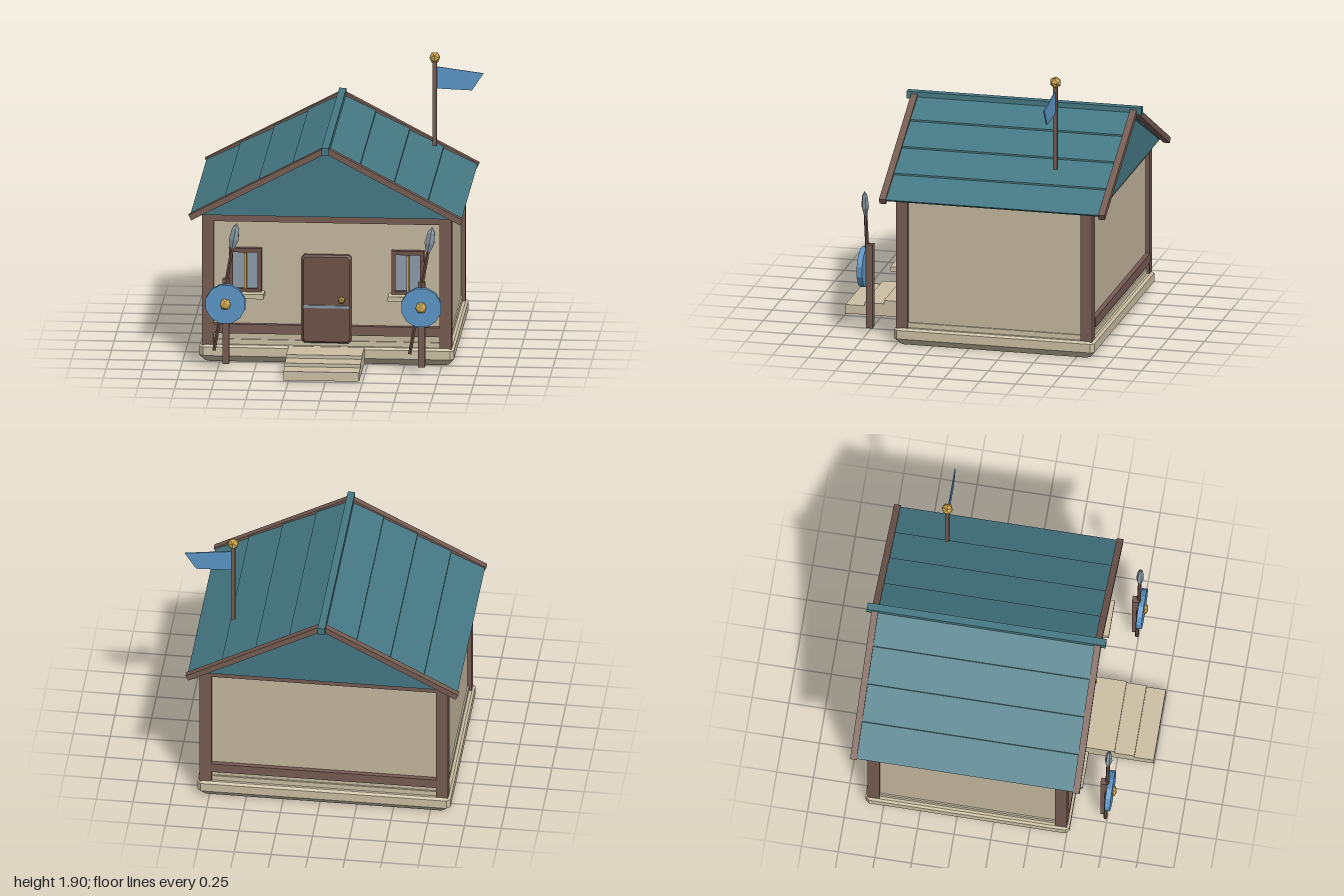
import * as THREE from 'three';
import { ConvexGeometry } from 'three/addons/geometries/ConvexGeometry.js';

const CX = -0.028; // middle of the house
const CZ = -0.18;

export function createModel() {
  const model = new THREE.Group();
  model.name = 'cottage';

  const mat = (name, color) => {
    const m = new THREE.MeshStandardMaterial({ color, flatShading: true });
    m.name = name;
    return m;
  };
  const plaster = mat('plaster', 0xc4b79d);
  const stone = mat('stone', 0xccc0a4);
  const timber = mat('timber', 0x765c53);
  const doorWood = mat('door wood', 0x6d5148);
  const roofTeal = mat('roof teal', 0x457984);
  const blue = mat('blue', 0x5b96c6);
  const gold = mat('gold', 0xcba44a);
  const steel = mat('steel', 0x8797a3);
  const glass = mat('glass', 0x8c9baa);

  const add = (name, geometry, material, parent = model) => {
    const mesh = new THREE.Mesh(geometry, material);
    mesh.name = name;
    parent.add(mesh);
    return mesh;
  };
  // Box given by its limits on each axis
  const box = (name, x0, x1, y0, y1, z0, z1, material, parent) => {
    const m = add(name, new THREE.BoxGeometry(x1 - x0, y1 - y0, z1 - z0), material, parent);
    m.position.set((x0 + x1) / 2, (y0 + y1) / 2, (z0 + z1) / 2);
    return m;
  };
  // Convex block of rings [height, halfWidth, halfDepth], with cut corners
  const block = (rings, cut) => {
    const pts = [];
    for (const [y, w, d] of rings)
      for (const sx of [-1, 1])
        for (const sz of [-1, 1])
          pts.push(new THREE.Vector3(sx * (w - cut), y, sz * d), new THREE.Vector3(sx * w, y, sz * (d - cut)));
    return new ConvexGeometry(pts);
  };
  // Outline in x and y, extruded from z0 to z1
  const slab = (name, pts, z0, z1, material, parent) => {
    const shape = new THREE.Shape(pts.map(([x, y]) => new THREE.Vector2(x, y)));
    const g = new THREE.ExtrudeGeometry(shape, { depth: z1 - z0, bevelEnabled: false });
    const m = add(name, g, material, parent);
    m.position.z = z0;
    return m;
  };
  // Half an outline reflected across the house middle
  const mirrored = (half) => [
    ...half.map(([x, y]) => [CX + x, y]),
    ...half.slice().reverse().map(([x, y]) => [CX - x, y]),
  ];

  // Foundation and plinth
  add('foundation', block([[0, 0.825, 0.66], [0.045, 0.86, 0.697], [0.105, 0.86, 0.697], [0.12, 0.845, 0.682]], 0.025), stone)
    .position.set(CX, 0, CZ);
  box('plinth', CX - 0.825, CX + 0.825, 0.11, 0.155, CZ - 0.665, CZ + 0.665, stone);

  // Walls, corner posts and beams
  box('walls', CX - 0.815, CX + 0.815, 0.12, 1.03, CZ - 0.655, CZ + 0.655, plaster);
  for (const sx of [-1, 1])
    for (const sz of [-1, 1]) {
      const x = CX + sx * 0.803, z = CZ + sz * 0.64;
      box('cornerPost', x - 0.04, x + 0.04, 0.115, 1.03, z - 0.04, z + 0.04, timber);
    }
  for (const sz of [-1, 1]) {
    const z = CZ + sz * 0.665;
    box('topBeam', CX - 0.765, CX + 0.765, 0.98, 1.032, z - 0.022, z + 0.022, timber);
    if (sz < 0) box('lowerBeam', CX - 0.765, CX + 0.765, 0.2, 0.265, z - 0.022, z + 0.022, timber);
    else for (const sx of [-1, 1]) {
      const x = CX + sx * 0.465;
      box('lowerBeam', x - 0.3, x + 0.3, 0.2, 0.265, z - 0.022, z + 0.022, timber);
    }
  }

  // Gable block and lapped roof boards
  const roof = new THREE.Group();
  roof.name = 'roof';
  model.add(roof);
  slab('gable', [[CX - 0.885, 1.03], [CX + 0.885, 1.03], [CX, 1.495]], -0.9, 0.54, roofTeal, roof);
  const line = (u) => 1.52 - 0.527 * u;
  const lap = [];
  for (let i = 0; i < 4; i++) {
    const u0 = 0.229 * i, u1 = 0.229 * (i + 1);
    lap.push([u0, line(u0) - 0.012], [u1, line(u1)]);
  }
  lap[0][0] = 0.001;
  lap.push([0.905, 1.025], [0.001, 1.475]);
  for (const s of [-1, 1])
    slab('roofBoards', lap.map(([u, y]) => [CX + s * u, y]), -0.925, 0.56, roofTeal, roof);
  const barge = mirrored([[0, 1.53], [0.926, 1.042], [0.908, 1.005], [0, 1.485]]);
  // outer edge, then inner edge back across
  const chevron = [barge[0], barge[1], barge[2], barge[3], barge[5], barge[6]];
  for (const z of [-0.967, 0.553]) slab('bargeBoard', chevron, z, z + 0.045, timber, roof);
  box('ridgeCap', CX - 0.025, CX + 0.025, 1.482, 1.532, -1.0, 0.63, roofTeal, roof);

  // Door with strap and knob
  const door = new THREE.Group();
  door.name = 'door';
  model.add(door);
  const leaf = add('doorLeaf', block([[0, 0.168, 0.306], [0.03, 0.168, 0.306], [0.042, 0.156, 0.294]], 0.018), doorWood, door);
  leaf.rotation.x = Math.PI / 2;
  leaf.position.set(CX, 0.45, 0.472);
  box('doorStrap', CX - 0.158, CX + 0.158, 0.39, 0.41, 0.51, 0.522, steel, door);
  add('doorKnob', new THREE.IcosahedronGeometry(0.026), gold, door).position.set(0.075, 0.45, 0.53);

  // Windows
  for (const s of [-1, 1]) {
    const win = new THREE.Group();
    win.name = 'window';
    win.position.set(CX + s * 0.549, 0, 0);
    model.add(win);
    box('glassPane', -0.09, 0.09, 0.51, 0.775, 0.47, 0.488, glass, win);
    for (const t of [-1, 1]) {
      box('frameSide', t * 0.097 - 0.013, t * 0.097 + 0.013, 0.49, 0.795, 0.46, 0.511, doorWood, win);
    }
    box('frameTop', -0.085, 0.085, 0.767, 0.795, 0.46, 0.511, doorWood, win);
    box('frameBottom', -0.085, 0.085, 0.49, 0.515, 0.46, 0.511, doorWood, win);
    box('mullion', -0.009, 0.009, 0.515, 0.767, 0.485, 0.522, gold, win);
    box('sill', -0.13, 0.13, 0.46, 0.493, 0.47, 0.58, stone, win);
  }

  // Front steps
  [[0.73, 0.118], [0.865, 0.094], [0.997, 0.07]].forEach(([z, y]) =>
    box('step', CX - 0.256, CX + 0.256, 0.008, y, 0.49, z, stone));

  // Shield stands, each with a leaning spear
  for (const x of [-0.691, 0.631]) {
    const stand = new THREE.Group();
    stand.name = 'shieldStand';
    stand.position.x = x;
    model.add(stand);
    box('standPost', -0.023, 0.023, 0.05, 0.638, 0.702, 0.748, timber, stand);
    const shield = add('shield', new THREE.CylinderGeometry(0.138, 0.138, 0.037, 12), blue, stand);
    shield.rotation.set(Math.PI / 2, Math.PI / 12, 0);
    shield.position.set(0, 0.474, 0.767);
    const boss = add('shieldBoss', new THREE.IcosahedronGeometry(0.042), gold, stand);
    boss.scale.z = 0.65;
    boss.position.set(0, 0.474, 0.786);

    const spear = new THREE.Group();
    spear.name = 'spear';
    spear.position.set(-0.079, 0.143, 0.746);
    spear.rotation.z = -0.17;
    stand.add(spear);
    add('spearShaft', new THREE.CylinderGeometry(0.013, 0.013, 0.76, 6), doorWood, spear).position.y = 0.38;
    const profile = [[0, 0.72], [0.016, 0.72], [0.037, 0.785], [0.028, 0.86], [0, 0.9]];
    const head = add('spearHead', new THREE.LatheGeometry(profile.map((p) => new THREE.Vector2(...p)), 6), steel, spear);
    head.scale.z = 0.7;
  }

  // Flagpole with finial and flag
  const flag = new THREE.Group();
  flag.name = 'flagpole';
  model.add(flag);
  box('pole', 0.611, 0.639, 1.257, 1.85, -0.574, -0.546, timber, flag);
  add('finial', new THREE.IcosahedronGeometry(0.041), gold, flag).position.set(0.625, 1.87, -0.56);
  slab('flag', [[0.636, 1.655], [0.877, 1.646], [0.954, 1.765], [0.636, 1.807]], -0.564, -0.556, blue, flag);

  return model;
}
